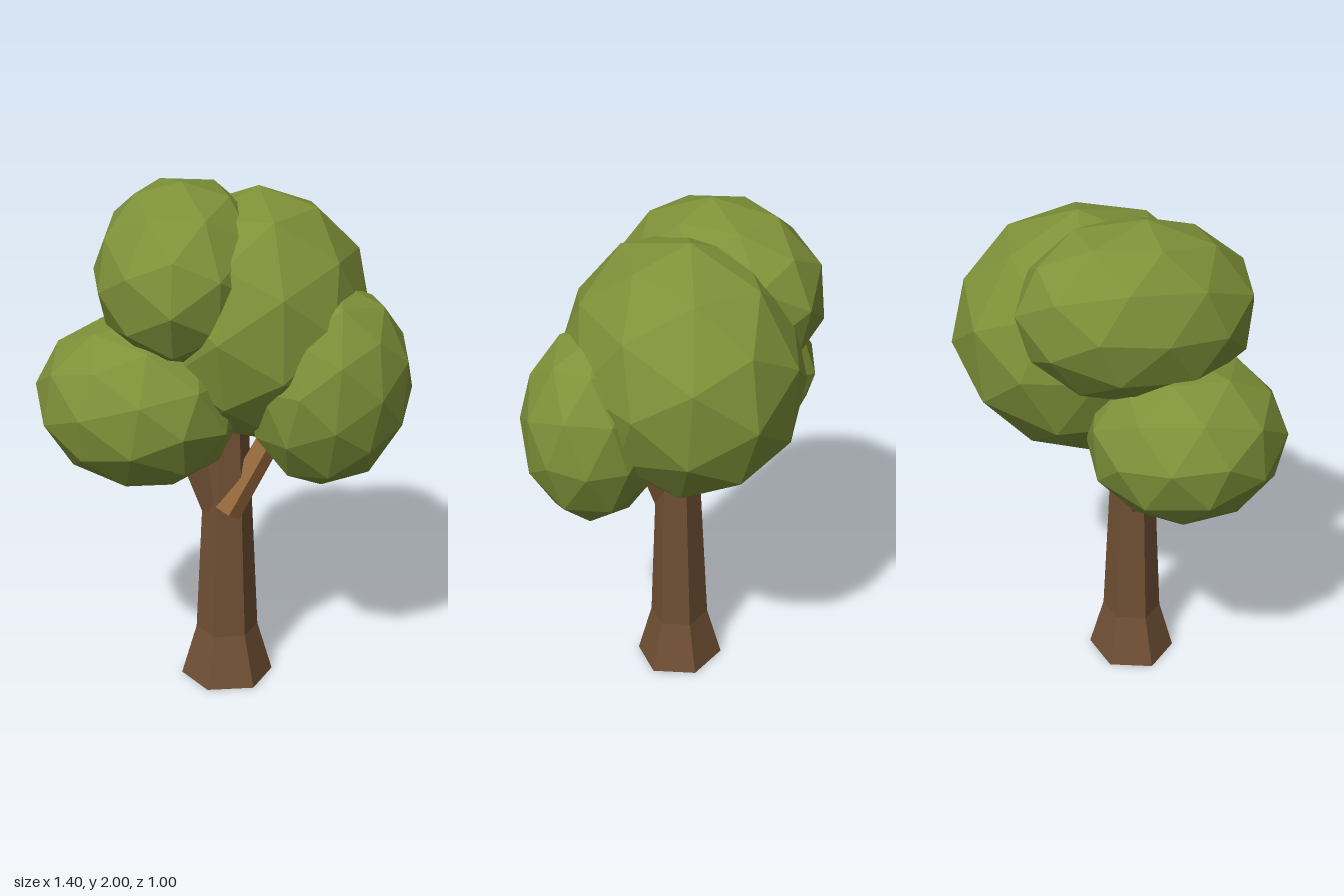
import * as THREE from 'three';

const paint = (name, color) => {
  const m = new THREE.MeshStandardMaterial({ color });
  m.name = name;
  return m;
};

// Gives every triangle its own normal for a faceted look
function faceted(geometry) {
  const g = geometry.index ? geometry.toNonIndexed() : geometry;
  g.computeVertexNormals();
  return g;
}

export function createModel() {
  const tree = new THREE.Group();
  tree.name = 'tree';
  const bark = paint('bark brown', 0x705034);
  const lightBark = paint('branch brown', 0x93673c);
  const leaf = paint('leaf green', 0x7f9139);

  const add = (name, geometry, material) => {
    const mesh = new THREE.Mesh(faceted(geometry), material);
    mesh.name = name;
    tree.add(mesh);
  };

  // Six-sided trunk with a flared foot
  const profile = [[0, 0], [0.182, 0], [0.122, 0.21], [0.095, 0.78], [0.078, 1.15], [0, 1.15]]
    .map(([r, y]) => new THREE.Vector2(r, y));
  const trunk = new THREE.LatheGeometry(profile, 6, Math.PI / 2);
  trunk.scale(1, 1, 0.94);
  trunk.translate(0.007, 0, 0.097);
  add('trunk', trunk, bark);

  // Branches, from the trunk up into the foliage
  const branches = [
    ['leftBranch', [0.0, 0.735, 0.16], [0.215, 1.1, 0.1], 0.055, lightBark],
    ['rightBranch', [-0.04, 0.74, 0.1], [-0.18, 1.1, 0.08], 0.058, bark],
  ];
  for (const [name, from, to, r, material] of branches) {
    const a = new THREE.Vector3(...from), b = new THREE.Vector3(...to);
    const dir = b.clone().sub(a);
    const g = new THREE.CylinderGeometry(r * 0.9, r, dir.length(), 5);
    g.applyQuaternion(new THREE.Quaternion().setFromUnitVectors(
      new THREE.Vector3(0, 1, 0), dir.normalize()));
    const mid = a.add(b).multiplyScalar(0.5);
    g.translate(mid.x, mid.y, mid.z);
    add(name, g, material);
  }

  // Foliage clumps: name, centre, radii, turns about y, z and x
  const clumps = [
    ['topFoliage', [-0.155, 1.657, 0.022], [0.328, 0.341, 0.458], [-0.15, 0, 0.1]],
    ['backFoliage', [0.138, 1.465, -0.028], [0.428, 0.487, 0.517], [-0.4, 0, -0.08]],
    ['leftFoliage', [0.38, 1.255, 0.195], [0.338, 0.386, 0.277], [0.6, -0.08, -0.12]],
    ['rightFoliage', [-0.328, 1.195, 0.135], [0.39, 0.316, 0.376], [-0.65, -0.17, 0]],
  ];
  for (const [name, centre, radii, [turnY, turnZ, turnX]] of clumps) {
    const g = new THREE.IcosahedronGeometry(1, 1);
    g.scale(...radii);
    g.rotateY(turnY);
    g.rotateZ(turnZ);
    g.rotateX(turnX);
    g.translate(...centre);
    add(name, g, leaf);
  }
  return tree;
}
